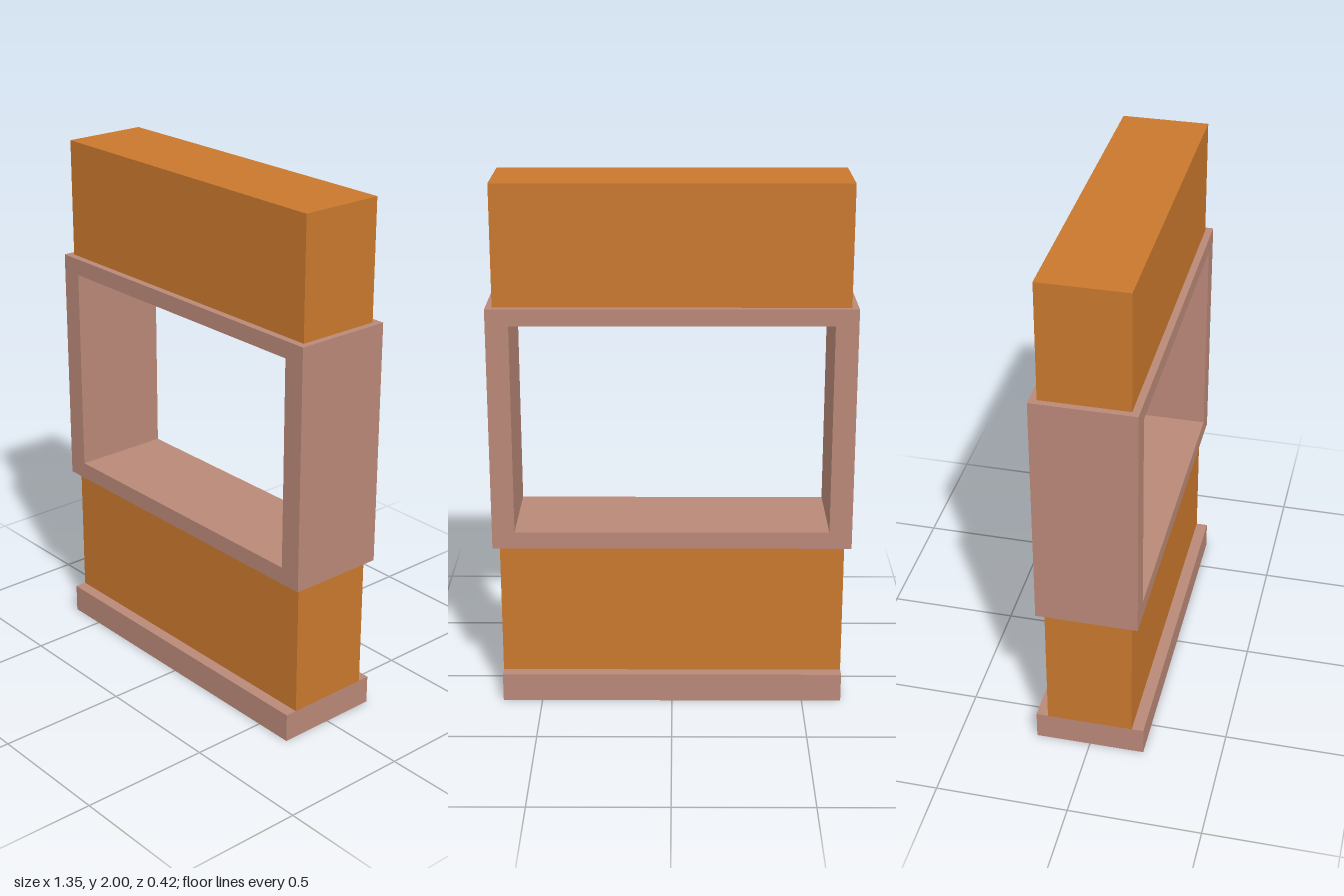
import * as THREE from 'three';

export function createModel() {
  const group = new THREE.Group();
  const wallPaint = new THREE.MeshStandardMaterial({ color: 0xc8782d });
  wallPaint.name = 'orange wall';
  const trimPaint = new THREE.MeshStandardMaterial({ color: 0xb98878 });
  trimPaint.name = 'dusty pink trim';

  // Box centred on x and z, spanning y0 to y1
  function slab(name, width, y0, y1, depth, material) {
    const mesh = new THREE.Mesh(new THREE.BoxGeometry(width, y1 - y0, depth), material);
    mesh.position.y = (y0 + y1) / 2;
    mesh.name = name;
    group.add(mesh);
  }

  // Baseboard and the wall below and above the opening
  slab('baseboard', 1.3, 0, 0.11, 0.416, trimPaint);
  slab('lowerWall', 1.3, 0.11, 0.625, 0.326, wallPaint);
  slab('upperWall', 1.3, 1.55, 2, 0.326, wallPaint);

  // Window frame: a rectangle with a rectangular hole, extruded through the wall
  const rectangle = (target, x, y0, y1) =>
    target.moveTo(-x, y0).lineTo(x, y0).lineTo(x, y1).lineTo(-x, y1).closePath();
  const outline = rectangle(new THREE.Shape(), 0.675, 0.625, 1.55);
  outline.holes.push(rectangle(new THREE.Path(), 0.59, 0.69, 1.487));
  const depth = 0.38;
  const frameGeometry = new THREE.ExtrudeGeometry(outline, { depth, bevelEnabled: false });
  frameGeometry.translate(0, 0, -depth / 2);
  const frame = new THREE.Mesh(frameGeometry, trimPaint);
  frame.name = 'windowFrame';
  group.add(frame);

  return group;
}
